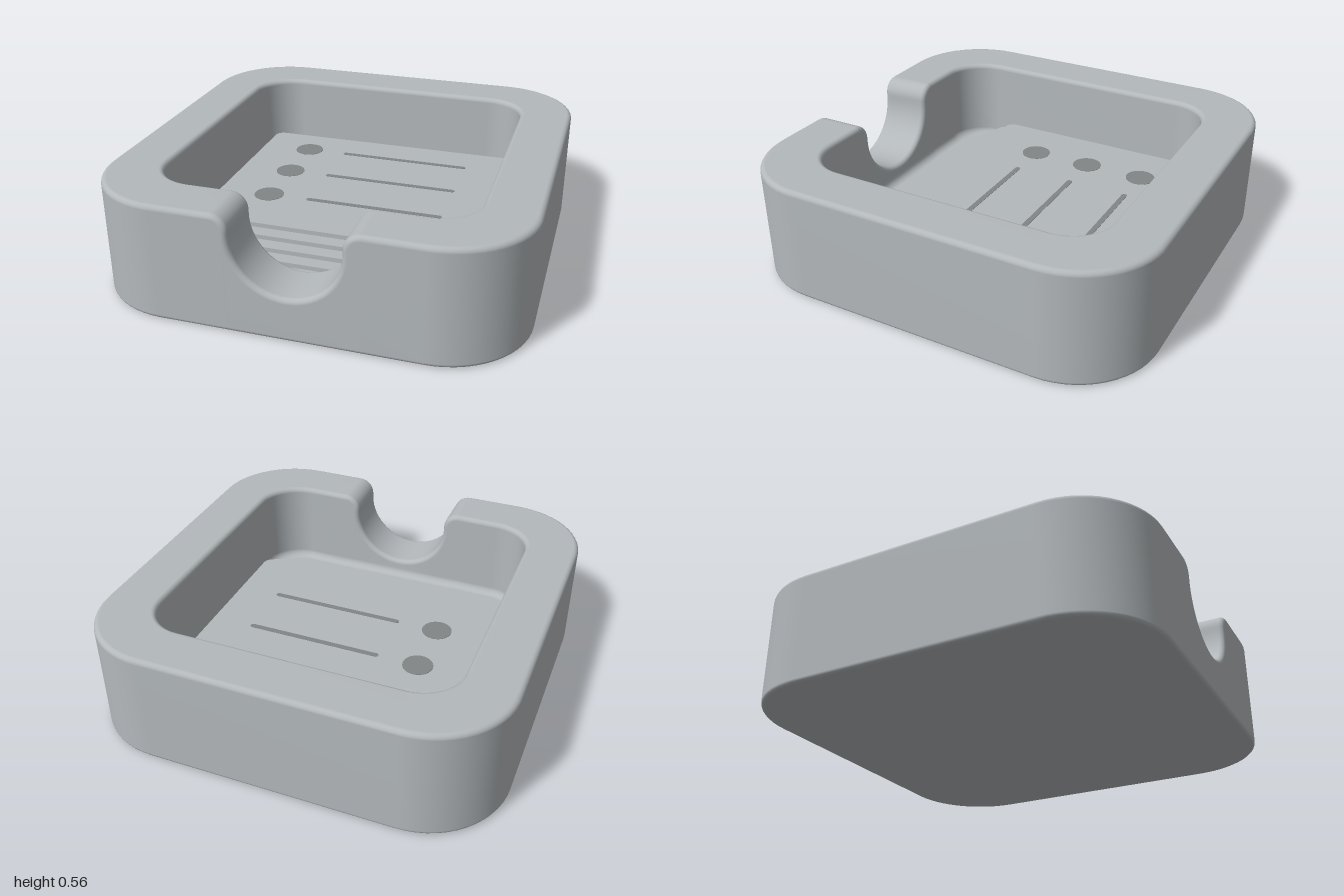
import * as THREE from 'three';

const H = 0.56, FLOOR = 0.12, R = 0.025, FOOT = 0.02, COVE = 0.04;

// Stations round the tray wall: outer and inner plan points, outward direction,
// and on the finger notch the rim point with its normal.
function wallStations() {
  const list = [];
  const corner = (start, sx, sz) => {
    for (let i = 0; i <= 14; i++) {
      const a = start + (i / 14) * Math.PI / 2, c = Math.cos(a), s = Math.sin(a);
      list.push({
        d: [c, s],
        outer: [sx * 0.6 + 0.4 * c, sz * 0.6 + 0.4 * s],
        inner: [sx * 0.54 + 0.2 * c, sz * 0.54 + 0.2 * s],
      });
    }
  };
  const notchArc = (cx, cy, r, from, to, steps, sign) => {
    for (let i = 0; i <= steps; i++) {
      const a = from + (to - from) * i / steps, c = Math.cos(a), s = Math.sin(a);
      const x = cx + r * c;
      list.push({
        d: [0, 1], outer: [x, 1], inner: [x, 0.74],
        rim: { x, y: cy + r * s, nx: sign * c, ny: sign * s },
      });
    }
  };
  corner(0, 1, 1);
  notchArc(0.33, 0.48, 0.08, Math.PI / 2, Math.PI, 8, 1);
  notchArc(0, 0.46, 0.25, 0, -Math.PI, 28, -1);
  notchArc(-0.33, 0.48, 0.08, 0, Math.PI / 2, 8, 1);
  corner(Math.PI / 2, -1, 1);
  corner(Math.PI, -1, -1);
  corner(Math.PI * 1.5, 1, -1);
  return list;
}

// Wall section at one station, from floor centre over the rim to the base centre
function wallSection(st) {
  const points = [];
  const rim = st.rim || { nx: 0, ny: 1, y: H };
  const add = (base, inset, y, depth) => {
    const x = st.rim ? rim.x - rim.nx * depth : base[0] + st.d[0] * inset;
    points.push([x, y, base[1] + st.d[1] * inset]);
  };
  const addRim = (base, dir, f) => {
    const depth = R * (1 - Math.sin(f));
    add(base, dir * R * (1 - Math.cos(f)), rim.y - rim.ny * depth, depth);
  };
  const N = 5, q = Math.PI / 2;
  points.push([0, FLOOR, 0]);
  for (let i = 0; i <= N; i++) {
    const f = q * i / N;
    add(st.inner, -COVE * (1 - Math.sin(f)), FLOOR + COVE * (1 - Math.cos(f)), R);
  }
  for (let i = 0; i <= N; i++) addRim(st.inner, 1, q * i / N);
  for (let i = N; i >= 0; i--) addRim(st.outer, -1, q * i / N);
  for (let i = 0; i <= N; i++) {
    const f = q * i / N;
    add(st.outer, -FOOT * (1 - Math.cos(f)), FOOT * (1 - Math.sin(f)), R);
  }
  points.push([0, 0, 0]);
  return points;
}

function trayGeometry() {
  const sections = wallStations().map(wallSection);
  const n = sections.length, m = sections[0].length, index = [];
  for (let i = 0; i < n; i++) {
    for (let j = 0; j < m - 1; j++) {
      const a = i * m + j, b = ((i + 1) % n) * m + j;
      if (j > 0) index.push(a, b, a + 1);
      if (j < m - 2) index.push(b, b + 1, a + 1);
      else index.push(a, b, a + 1);
    }
    // close the floor fan
    index.push(i * m, ((i + 1) % n) * m + 1, i * m + 1);
  }
  const geo = new THREE.BufferGeometry();
  geo.setAttribute('position', new THREE.Float32BufferAttribute(sections.flat(2), 3));
  geo.setIndex(index);
  geo.computeVertexNormals();
  return geo;
}

// Flat rounded plate lying in xz, standing on y = 0
function plate(x0, x1, z0, z1, r, thickness) {
  const s = new THREE.Shape(), q = Math.PI / 2;
  s.absarc(x1 - r, -z0 - r, r, 0, q);
  s.absarc(x0 + r, -z0 - r, r, q, 2 * q);
  s.absarc(x0 + r, -z1 + r, r, 2 * q, 3 * q);
  s.absarc(x1 - r, -z1 + r, r, 3 * q, 4 * q);
  const geo = new THREE.ExtrudeGeometry(s, { depth: thickness, bevelEnabled: false, curveSegments: 8 });
  return geo.rotateX(-Math.PI / 2);
}

export function createModel() {
  const model = new THREE.Group();
  model.name = 'noteTray';
  const grey = new THREE.MeshStandardMaterial({ color: 0xb3b8bb });
  grey.name = 'light grey';
  const dark = new THREE.MeshStandardMaterial({ color: 0x828687 });
  dark.name = 'dark grey';
  const add = (name, geo, mat, y = 0) => {
    const mesh = new THREE.Mesh(geo, mat);
    mesh.name = name;
    mesh.position.y = y;
    model.add(mesh);
  };

  add('tray', trayGeometry(), grey);

  // Stepped stack of sheets, with a thin recessed gap under each
  [0.44, 0.497, 0.554, 0.61].forEach((front, i) => {
    const top = 0.24 - i * 0.03;
    add('sheet', plate(-0.687, 0.687, -0.69, front, 0.045, 0.022), grey, top - 0.022);
    add('sheetGap', plate(-0.67, 0.67, -0.675, front - 0.015, 0.03, 0.008), dark, top - 0.03);
  });

  // Bullet dots and ruled lines on the top sheet
  for (const z of [-0.49, -0.183, 0.124]) {
    add('bullet', new THREE.CylinderGeometry(0.075, 0.075, 0.004, 40).translate(-0.42, 0, z), dark, 0.24);
    add('ruledLine', plate(-0.217, 0.478, z - 0.0135, z + 0.0135, 0.0134, 0.002), dark, 0.24);
  }
  return model;
}
